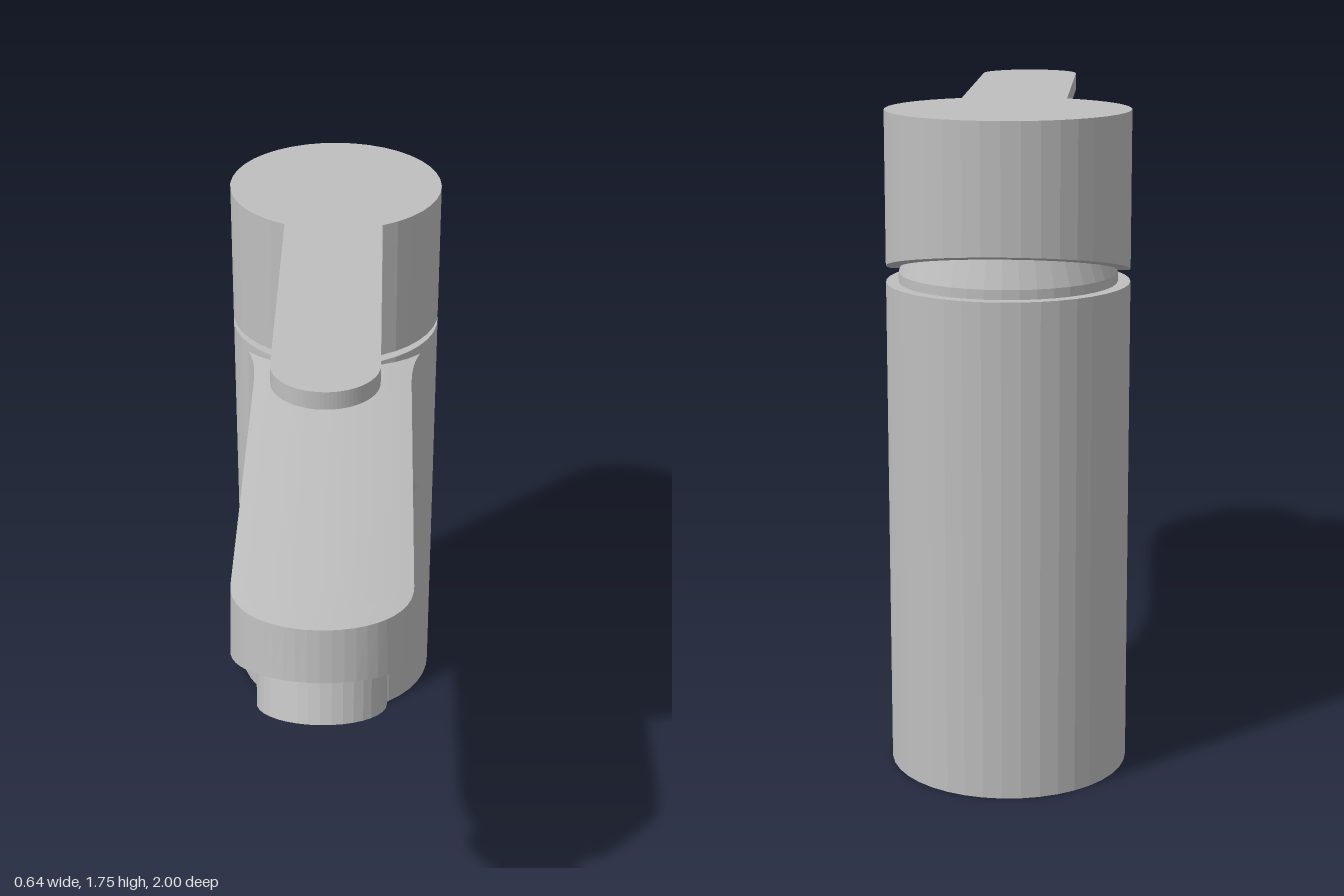
import * as THREE from 'three';

const AXIS_Z = -0.68; // centre line of the upright body
const R = 0.318;
const SIDES = 40;

// Spout: cross-section rings running from the rounded tip back to the body
function spoutGeometry() {
  const N = 12, HALF = 0.24, BEND = 0.05;
  const rings = [];
  const topY = x => 1.305 - 0.02 * (x / HALF) ** 2;
  const underY = (x, z) =>
    Math.max(1.01 + 0.025 * (x / HALF) ** 2, 1.01 + (z - 0.57) * 0.335);

  // section(w, place): place(x, isTop) gives [x, y, z] for one point
  const section = (w, place) => {
    const ring = [];
    for (let k = 0; k <= N; k++) ring.push(place(w * (2 * k / N - 1), true));
    for (let k = 0; k <= N; k++) ring.push(place(w * (1 - 2 * k / N), false));
    rings.push(ring);
  };

  // rounded tip, drawn in slightly towards the top
  for (let i = 0; i <= 12; i++) {
    const b = (1 - i / 12) * Math.PI / 2;
    const z = 0.76 + 0.24 * Math.sin(b);
    section(HALF * Math.cos(b), (x, top) => top
      ? [x * 0.98, topY(x), z - 0.016 * Math.sin(b)]
      : [x, underY(x, z), z]);
  }
  // straight run
  for (const z of [0.65, 0.6, 0.57, 0.3]) {
    section(HALF, (x, top) => [top ? x * 0.98 : x, top ? topY(x) : underY(x, z), z]);
  }
  // curved underside and flared sides flowing into the body
  for (let i = 0; i <= 14; i++) {
    const a = i / 14 * Math.PI / 2;
    const flare = Math.max(0, (i / 14 - 0.48) / 0.52);
    section(HALF + 0.045 * flare ** 2, (x, top) => {
      const zEnd = AXIS_Z + Math.sqrt(0.312 ** 2 - x * x);
      const yEnd = 0.6 + 0.12 * (x / 0.25) ** 2;
      const z = BEND - (BEND - zEnd) * Math.sin(a);
      const y = top ? topY(x) : yEnd + (underY(x, BEND) - yEnd) * Math.cos(a);
      return [top ? x * (0.98 + 0.02 * flare) : x, y, z];
    });
  }

  const M = rings[0].length, index = [];
  for (let i = 0; i < rings.length - 1; i++) {
    for (let j = 0; j < M; j++) {
      const a = i * M + j, b = i * M + (j + 1) % M;
      index.push(a, b, a + M, b, b + M, a + M);
    }
  }
  const g = new THREE.BufferGeometry();
  g.setAttribute('position', new THREE.Float32BufferAttribute(rings.flat(2), 3));
  g.setIndex(index);
  g.computeVertexNormals();
  return g;
}

// Handle cap: cylinder whose lower rim rises towards the back
function capGeometry() {
  const g = new THREE.CylinderGeometry(R, R, 0.425, SIDES);
  g.translate(0, 1.5425, AXIS_Z);
  const p = g.attributes.position;
  for (let i = 0; i < p.count; i++) {
    if (p.getY(i) < 1.5) p.setY(i, 1.33 + Math.max(0, -0.63 - p.getZ(i)) * 0.25);
  }
  g.computeVertexNormals();
  return g;
}

// Lever: flat bar with a round end, drawn in plan and laid down
function leverGeometry() {
  const w = 0.142, end = 0.448;
  const s = new THREE.Shape();
  s.moveTo(-w, -0.42);
  s.lineTo(w, -0.42);
  s.lineTo(w, end);
  s.absarc(0, end, w, 0, Math.PI, false);
  s.closePath();
  const g = new THREE.ExtrudeGeometry(s, { depth: 0.05, bevelEnabled: false, curveSegments: 20 });
  g.rotateX(Math.PI / 2); // plan y becomes z, thickness goes down
  g.translate(0, 1.755, 0);
  return g;
}

export function createModel() {
  const group = new THREE.Group();
  const metal = new THREE.MeshStandardMaterial({ color: 0xbfbfbf, flatShading: true });
  metal.name = 'brushedMetal';

  const add = (name, geometry, x = 0, y = 0, z = 0) => {
    const mesh = new THREE.Mesh(geometry, metal);
    mesh.name = name;
    mesh.position.set(x, y, z);
    group.add(mesh);
    return mesh;
  };

  add('body', new THREE.CylinderGeometry(R, R, 1.31, SIDES), 0, 0.655, AXIS_Z);

  // tapered neck between body and handle
  const neck = [[0.285, 1.3], [0.285, 1.335], [0.25, 1.43], [0, 1.43]]
    .map(([r, y]) => new THREE.Vector2(r, y));
  add('neck', new THREE.LatheGeometry(neck, SIDES), 0, 0, AXIS_Z);

  add('spout', spoutGeometry());

  // outlet tilted to match the sloping underside of the tip
  const outlet = add('outlet', new THREE.CylinderGeometry(0.17, 0.17, 0.16, 36), 0, 1.038, 0.809);
  outlet.rotation.x = -0.33;

  add('handleCap', capGeometry());
  add('lever', leverGeometry());

  // small domed button on the front of the cap
  const button = add('button', new THREE.SphereGeometry(0.055, 24, 16), 0, 1.497, -0.362);
  button.scale.z = 0.65;

  return group;
}
